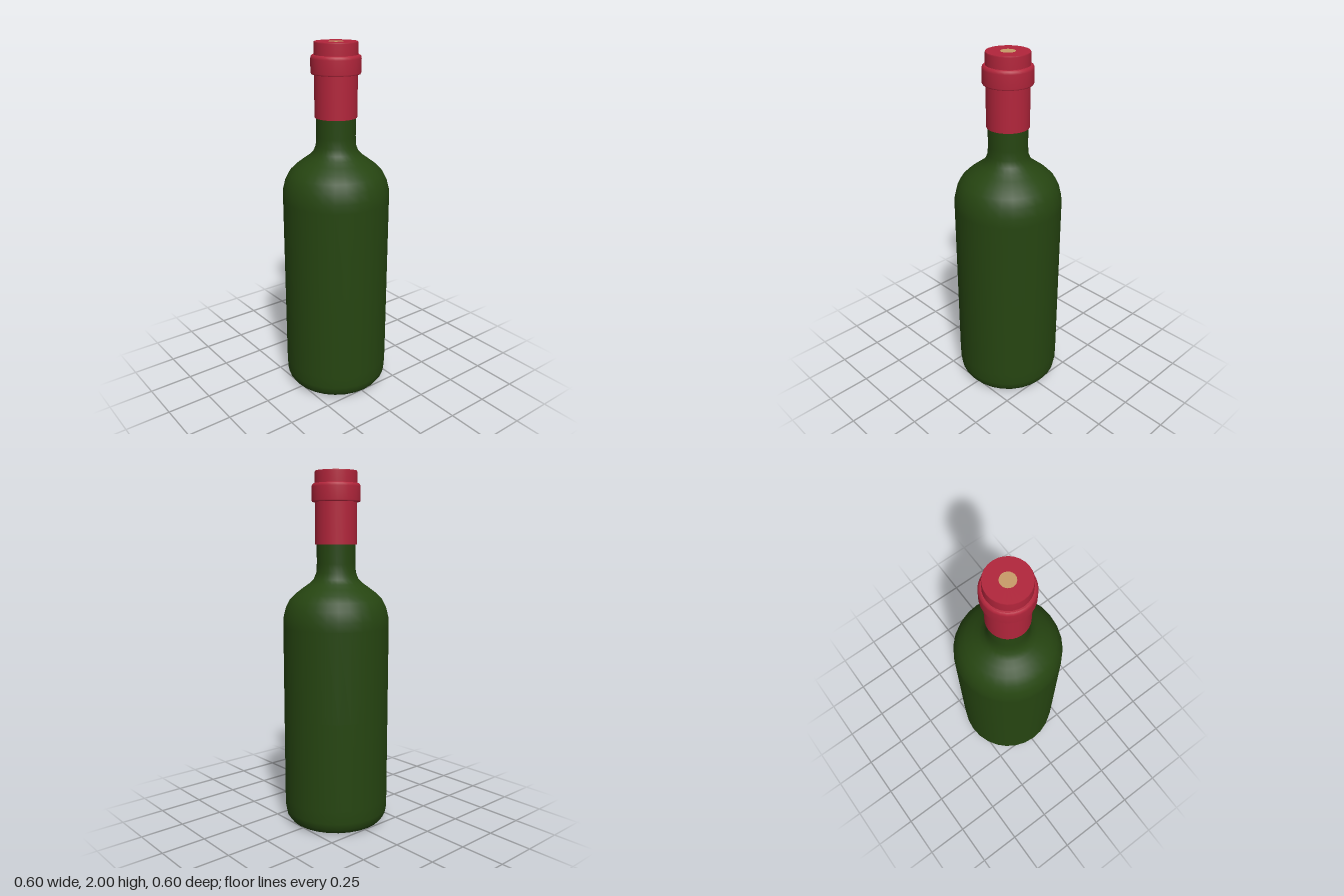
import * as THREE from 'three';
import { mergeGeometries } from 'three/addons/utils/BufferGeometryUtils.js';

const SIDES = 28;

// Each profile section is smooth; edges between sections stay sharp.
function turned(name, material, sections) {
  const parts = sections.map((pts) =>
    new THREE.LatheGeometry(pts.map(([r, y]) => new THREE.Vector2(r, y)), SIDES));
  const mesh = new THREE.Mesh(mergeGeometries(parts), material);
  mesh.name = name;
  return mesh;
}

export function createModel() {
  const glass = new THREE.MeshStandardMaterial({ name: 'green glass', color: 0x264511 });
  const foil = new THREE.MeshStandardMaterial({ name: 'red foil', color: 0xb2253b });
  const corkTan = new THREE.MeshStandardMaterial({ name: 'cork tan', color: 0xc89b68 });

  const bottle = new THREE.Group();
  bottle.name = 'wineBottle';

  // Glass: dimpled base, rounded heel, straight body, shoulder and neck
  bottle.add(turned('glassBody', glass, [[
    [0, 0.12], [0.06, 0.105], [0.13, 0.055], [0.18, 0.015], [0.215, 0.002],
    [0.24, 0.004], [0.27, 0.018], [0.29, 0.045], [0.297, 0.08], [0.299, 0.15],
    [0.299, 0.65], [0.299, 1.15], [0.297, 1.2], [0.283, 1.255], [0.26, 1.3],
    [0.225, 1.335], [0.185, 1.365], [0.15, 1.39], [0.125, 1.415],
    [0.111, 1.45], [0.108, 1.5], [0.108, 1.62],
  ]]));

  // Foil sleeve with raised collar, rim and a top opening around the cork
  bottle.add(turned('foilCapsule', foil, [
    [[0.106, 1.605], [0.116, 1.605]],
    [[0.116, 1.605], [0.116, 1.835]],
    [[0.116, 1.835], [0.131, 1.835]],
    [[0.131, 1.835], [0.135, 1.842], [0.135, 1.915], [0.132, 1.927], [0.125, 1.933]],
    [[0.125, 1.933], [0.117, 1.934]],
    [[0.117, 1.934], [0.117, 1.994], [0.115, 2]],
    [[0.115, 2], [0.04, 2]],
  ]));

  // Cork end, flush with the foil
  const cork = new THREE.Mesh(new THREE.CylinderGeometry(0.04, 0.04, 0.1, SIDES), corkTan);
  cork.name = 'cork';
  cork.position.y = 1.95;
  bottle.add(cork);

  return bottle;
}
